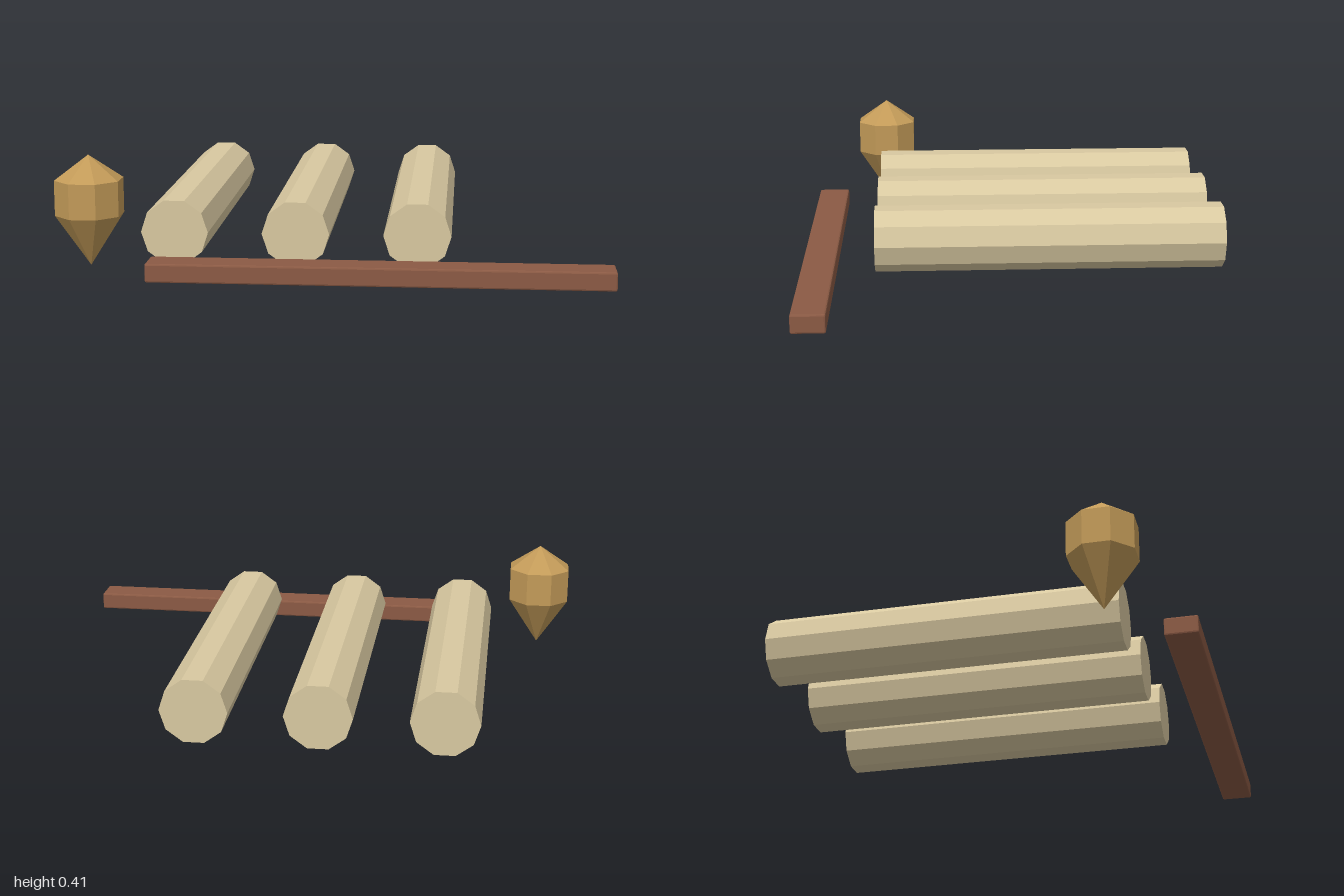
import * as THREE from 'three';
import { RoundedBoxGeometry } from 'three/addons/geometries/RoundedBoxGeometry.js';

function flatMaterial(name, color) {
  const m = new THREE.MeshStandardMaterial({ color, flatShading: true });
  m.name = name;
  return m;
}

export function createModel() {
  const group = new THREE.Group();
  const paleWood = flatMaterial('paleWood', 0xd8c8a0);
  const redWood = flatMaterial('redWood', 0x8b5a44);
  const goldWood = flatMaterial('goldWood', 0xc29a58);

  const add = (name, geometry, material, x, y, z) => {
    const mesh = new THREE.Mesh(geometry, material);
    mesh.name = name;
    mesh.position.set(x, y, z);
    group.add(mesh);
  };

  // Three ten-sided logs lying along z, flat side up
  const log = new THREE.CylinderGeometry(0.122, 0.122, 1.29, 10, 1, false, Math.PI / 2);
  log.rotateX(Math.PI / 2);
  [-0.571, -0.132, 0.306].forEach((x, i) => add(`log${i + 1}`, log, paleWood, x, 0.13, -0.135));

  // Long beam across the front with narrow bevelled edges
  add('beam', new RoundedBoxGeometry(1.627, 0.067, 0.12, 1, 0.006), redWood, 0.182, 0.041, 0.712);

  // Eight-sided pointed peg: spike, straight collar and peaked cap
  const profile = [[0, 0], [0.126, 0.19], [0.126, 0.319], [0, 0.408]]
    .map(([r, y]) => new THREE.Vector2(r, y));
  const peg = new THREE.LatheGeometry(profile, 8);
  peg.rotateY(Math.PI / 8);
  add('peg', peg, goldWood, -0.883, 0, 0.493);

  return group;
}
